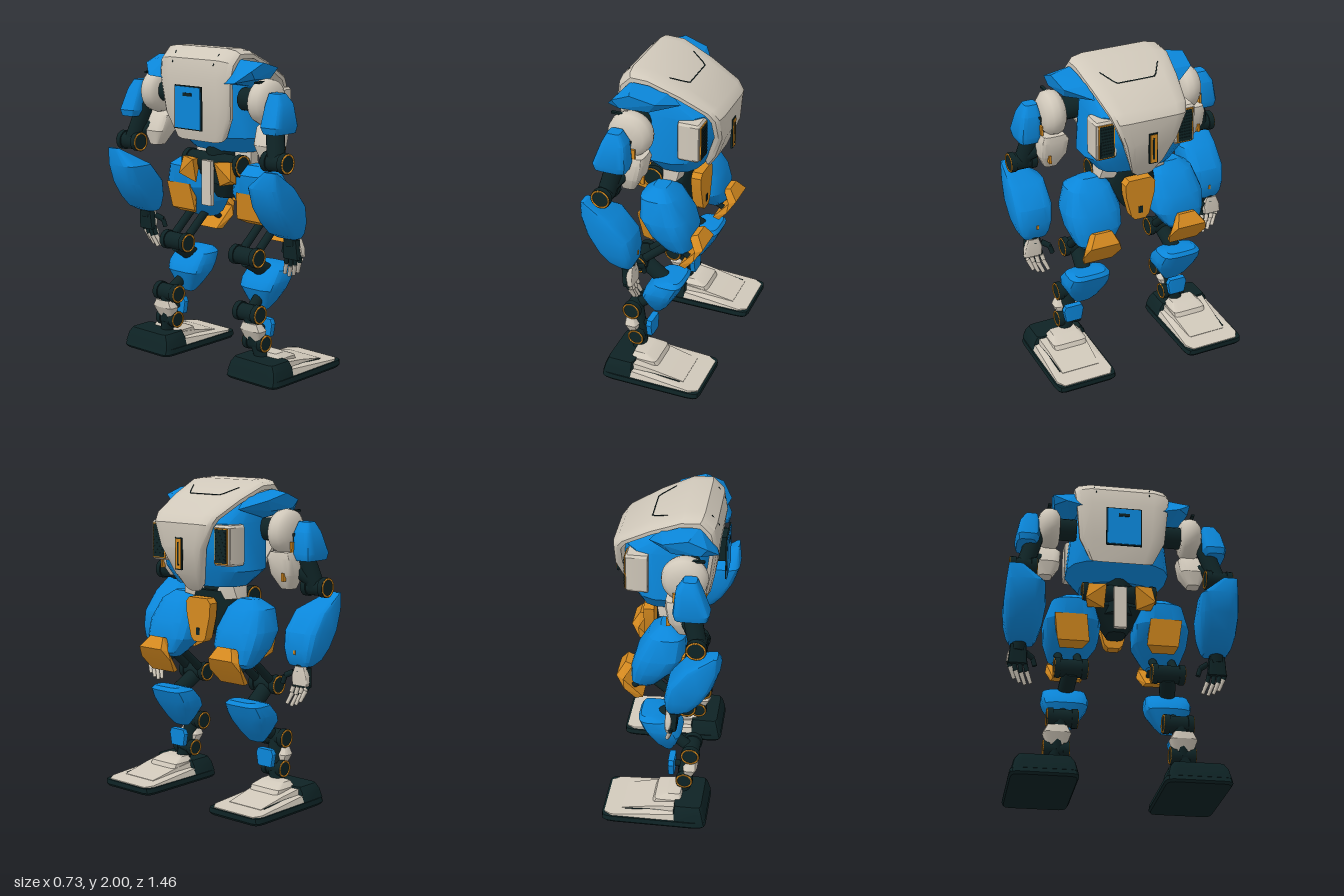
import * as THREE from 'three';
import { toCreasedNormals } from 'three/addons/utils/BufferGeometryUtils.js';
import { ConvexGeometry } from 'three/addons/geometries/ConvexGeometry.js';

const V = (x, y, z) => new THREE.Vector3(x, y, z);
const paint = (name, color) => Object.assign(new THREE.MeshStandardMaterial({ color }), { name });

export function createModel() {
  const blue = paint('blue armour', 0x0a86d9);
  const cream = paint('cream shell', 0xd0c8ba);
  const orange = paint('orange accent', 0xd58a1f);
  const dark = paint('dark frame', 0x0e2325);
  const root = new THREE.Group();
  root.name = 'walkerRobot';

  const add = (name, geo, mat, parent = root) => {
    const m = new THREE.Mesh(geo, mat);
    m.name = name;
    parent.add(m);
    return m;
  };
  // Convex panel through a few corner points
  const hull = (name, mat, pts, parent, crease = 0.5) =>
    add(name, toCreasedNormals(new ConvexGeometry(pts), crease), mat, parent);
  // Convex panel through rounded horizontal slices [y, x0, x1, z0, z1]; p: 1 = ellipse, near 0 = box
  const slices = (name, mat, rows, s, parent, p = 0.65) => {
    const pts = [], n = 16;
    const soft = (v) => Math.sign(v) * Math.abs(v) ** p;
    for (const [y, x0, x1, z0, z1] of rows)
      for (let i = 0; i < n; i++) {
        const a = ((i + 0.5) / n) * Math.PI * 2;
        pts.push(V((x0 + x1) / 2 + soft(Math.cos(a)) * (x1 - x0) / 2, y,
          s * ((z0 + z1) / 2 + soft(Math.sin(a)) * (z1 - z0) / 2)));
      }
    return hull(name, mat, pts, parent);
  };
  const rod = (name, mat, a, b, r, parent, r2 = r) => {
    const m = add(name, new THREE.CylinderGeometry(r2, r, a.distanceTo(b), 14), mat, parent);
    m.position.copy(a).lerp(b, 0.5);
    m.quaternion.setFromUnitVectors(V(0, 1, 0), b.clone().sub(a).normalize());
    return m;
  };
  const box = (name, mat, x, y, z, w, h, d, parent) => {
    const m = add(name, new THREE.BoxGeometry(w, h, d), mat, parent);
    m.position.set(x, y, z);
    return m;
  };
  // Sideways pivot drum with accent rings on both caps
  const joint = (name, x, y, z, r, width, parent) => {
    const g = new THREE.Group();
    g.name = name;
    g.position.set(x, y, z);
    parent.add(g);
    rod('drum', dark, V(0, 0, -width / 2 + 0.012), V(0, 0, width / 2 - 0.012), r * 0.88, g);
    for (const s of [-1, 1]) {
      rod('cap', dark, V(0, 0, s * (width / 2 - 0.035)), V(0, 0, s * width / 2), r, g);
      add('ring', new THREE.TorusGeometry(r * 0.86, 0.0055, 6, 28), orange, g).position.z = s * width / 2;
    }
  };

  // Torso core
  slices('torso', blue, [[1.86, -0.24, 0.12, -0.26, 0.26], [1.75, -0.26, 0.27, -0.3, 0.3], [1.6, -0.25, 0.28, -0.31, 0.31],
    [1.46, -0.22, 0.225, -0.33, 0.33], [1.36, -0.12, 0.18, -0.24, 0.24]], 1, root, 0.75);

  // Wraparound shell: stations [x, y, halfWidth] from the back, over the top, to the chin
  const stations = [[-0.25, 1.43, 0.2], [-0.28, 1.58, 0.27], [-0.31, 1.82, 0.29], [-0.29, 1.93, 0.3], [-0.22, 2, 0.3],
    [-0.1, 1.995, 0.3], [0.1, 1.91, 0.275], [0.29, 1.805, 0.245], [0.33, 1.75, 0.23], [0.33, 1.6, 0.175],
    [0.265, 1.43, 0.115], [0.21, 1.345, 0.08], [0.19, 1.325, 0.05]];
  const section = [[0.17, 1], [0.09, 1], [0.035, 0.92], [0, 0.68], [0, -0.68], [0.035, -0.92], [0.09, -1], [0.17, -1]];
  const pos = [], idx = [], N = section.length;
  for (const [x, y, w] of stations)
    for (const [k, f] of section) pos.push(x * (1 - k), y + (1.65 - y) * k, w * f);
  for (let i = 0; i < stations.length - 1; i++)
    for (let j = 0; j < N; j++) {
      const a = i * N + j, b = i * N + (j + 1) % N;
      idx.push(a, a + N, b, b, a + N, b + N);
    }
  for (let j = 1; j < N - 1; j++) {
    const e = (stations.length - 1) * N;
    idx.push(0, j, j + 1, e, e + j + 1, e + j);
  }
  const shellGeo = new THREE.BufferGeometry();
  shellGeo.setAttribute('position', new THREE.Float32BufferAttribute(pos, 3));
  shellGeo.setIndex(idx);
  cream.side = THREE.DoubleSide;
  add('upperShell', toCreasedNormals(shellGeo, 0.6), cream);

  // Panel seams on top of the shell
  rod('frontSeam', dark, V(0.1, 1.911, -0.12), V(0.1, 1.911, 0.12), 0.003);
  for (const s of [-1, 1]) {
    rod('frontSeam', dark, V(0.1, 1.911, s * 0.12), V(0.08, 1.92, s * 0.14), 0.003);
    rod('frontSeam', dark, V(0.08, 1.92, s * 0.14), V(0, 1.953, s * 0.19), 0.003);
    rod('rearSeam', dark, V(-0.3, 1.9, s * 0.17), V(-0.255, 1.967, s * 0.18), 0.003);
  }

  // Chest light and rear hatch
  box('chestLightRim', dark, 0.33, 1.565, 0, 0.012, 0.195, 0.056);
  box('chestLight', orange, 0.335, 1.565, 0, 0.009, 0.18, 0.042);
  box('chestLightSlot', dark, 0.339, 1.565, 0, 0.005, 0.14, 0.012);
  box('hatchMount', dark, -0.305, 1.68, 0, 0.06, 0.16, 0.12);
  box('hatchRim', dark, -0.336, 1.64, 0, 0.009, 0.265, 0.225);
  box('rearHatch', blue, -0.341, 1.64, 0, 0.008, 0.25, 0.21);
  box('hatchHandle', dark, -0.346, 1.72, 0, 0.006, 0.02, 0.07);

  // Waist and pelvis
  rod('waist', dark, V(-0.04, 1.15, 0), V(-0.04, 1.42, 0), 0.1);
  slices('pelvis', dark, [[1.32, -0.1, 0.09, -0.13, 0.13], [1.2, -0.12, 0.09, -0.17, 0.17], [1.05, -0.05, 0.09, -0.06, 0.06]], 1);
  joint('hipAxle', -0.1, 1.28, 0, 0.07, 0.46, root);
  hull('frontSkirt', orange, [0.1, 0.165].flatMap((x) => [-1, 1].flatMap((s) =>
    [V(x, 1.28, s * 0.075), V(x, 1.25, s * 0.1), V(x, 1.17, s * 0.095), V(x, 1.03, s * 0.06), V(x, 1.005, s * 0.035)])));
  box('skirtSlot', dark, 0.166, 1.07, 0, 0.006, 0.045, 0.028);
  box('rearSkirt', cream, -0.17, 1.16, 0, 0.03, 0.28, 0.08);

  for (const s of [1, -1]) {
    const side = s > 0 ? 'right' : 'left';
    const P = (x, y, z) => V(x, y, z * s);
    const group = (name) => {
      const g = new THREE.Group();
      g.name = side + name;
      root.add(g);
      return g;
    };

    // Side intake with slatted grille
    const vent = group('Intake');
    slices('ventBox', cream, [[1.5, 0.1, 0.225, 0.2, 0.315], [1.515, 0.1, 0.235, 0.19, 0.325],
      [1.73, 0.1, 0.235, 0.19, 0.325], [1.745, 0.1, 0.225, 0.2, 0.315]], s, vent, 0.12);
    box('ventFrame', orange, 0.237, 1.62, s * 0.258, 0.009, 0.216, 0.104, vent);
    box('ventRecess', dark, 0.24, 1.62, s * 0.258, 0.009, 0.202, 0.09, vent);
    for (let i = 0; i < 9; i++) box('slat', dark, 0.245, 1.54 + i * 0.02, s * 0.258, 0.006, 0.009, 0.08, vent);

    // Shoulder
    const arm = group('Arm');
    hull('collar', blue, [P(-0.3, 1.8, 0.26), P(-0.32, 1.81, 0.36), P(-0.2, 1.94, 0.28), P(-0.15, 1.925, 0.44), P(-0.26, 1.88, 0.44),
      P(0, 1.885, 0.42), P(0.1, 1.83, 0.27), P(0.03, 1.9, 0.26), P(-0.22, 1.83, 0.43), P(-0.05, 1.82, 0.4), P(-0.1, 1.77, 0.3)], arm, 0.2);
    rod('shoulderAxle', dark, P(-0.14, 1.7, 0.28), P(-0.14, 1.7, 0.46), 0.07, arm);
    const capProfile = [[0, -0.065], [0.1, -0.065], [0.128, -0.045], [0.138, -0.01], [0.132, 0.03], [0.1, 0.06], [0.05, 0.072], [0, 0.074]];
    const cap = add('shoulderCap', toCreasedNormals(new THREE.LatheGeometry(
      capProfile.map(([r, h]) => new THREE.Vector2(r, h)), 28), 0.7), cream, arm);
    cap.position.set(-0.135, 1.695, s * 0.455);
    cap.rotation.x = s * Math.PI / 2;
    box('shoulderSlot', dark, -0.2, 1.816, s * 0.46, 0.1, 0.012, 0.02, arm);

    // Upper arm
    slices('upperArmGuard', blue, [[1.76, -0.22, -0.14, 0.53, 0.61], [1.7, -0.25, -0.1, 0.52, 0.645],
      [1.57, -0.3, -0.085, 0.52, 0.67], [1.53, -0.29, -0.095, 0.54, 0.66]], s, arm, 0.45);
    box('guardMark', orange, -0.09, 1.61, s * 0.535, 0.03, 0.06, 0.014, arm);
    rod('upperArm', dark, P(-0.15, 1.7, 0.52), P(-0.23, 1.36, 0.61), 0.055, arm);
    slices('innerArmGuard', cream, [[1.58, -0.12, -0.03, 0.4, 0.54], [1.54, -0.16, -0.025, 0.37, 0.555],
      [1.44, -0.2, -0.045, 0.38, 0.555], [1.35, -0.18, -0.1, 0.43, 0.51]], s, arm, 0.5);
    box('innerGuardMark', orange, -0.045, 1.43, s * 0.505, 0.025, 0.05, 0.016, arm);
    rod('innerArmLink', dark, P(-0.12, 1.5, 0.47), P(-0.21, 1.4, 0.6), 0.04, arm);
    joint('elbow', -0.23, 1.365, s * 0.615, 0.062, 0.165, arm);

    // Forearm
    slices('forearmGuard', blue, [[1.325, -0.355, -0.33, 0.62, 0.71], [1.22, -0.37, -0.16, 0.48, 0.722], [1.1, -0.33, -0.06, 0.47, 0.73],
      [1, -0.27, -0.04, 0.485, 0.72], [0.93, -0.21, -0.045, 0.51, 0.7], [0.9, -0.15, -0.06, 0.53, 0.68]], s, arm, 0.5);
    box('forearmMark', orange, -0.04, 0.985, s * 0.6, 0.008, 0.025, 0.014, arm);

    // Hand with fingers sweeping inward
    rod('wrist', dark, P(-0.11, 0.95, 0.61), P(-0.09, 0.86, 0.62), 0.045, arm);
    slices('palm', dark, [[0.89, -0.125, -0.07, 0.57, 0.67], [0.77, -0.115, -0.07, 0.56, 0.68]], s, arm, 0.4);
    slices('handGuard', cream, [[0.9, -0.085, -0.05, 0.59, 0.66], [0.84, -0.09, -0.045, 0.57, 0.685], [0.785, -0.08, -0.045, 0.575, 0.69]], s, arm, 0.4);
    for (let i = 0; i < 4; i++) {
      const z = 0.573 + i * 0.034, drop = [0.01, 0, 0.012, 0.035][i];
      const knuckle = P(-0.075, 0.72 + drop, z - 0.012), tip = P(-0.055, 0.65 + drop, z - 0.04);
      rod('fingerBase', dark, P(-0.085, 0.79, z), knuckle, 0.014, arm);
      rod('fingerPlate', cream, P(-0.07, 0.77, z - 0.003), P(-0.062, 0.725 + drop, z - 0.012), 0.013, arm);
      rod('fingerTip', cream, knuckle, tip, 0.014, arm, 0.011);
    }
    rod('thumbBase', dark, P(-0.07, 0.86, 0.57), P(-0.045, 0.835, 0.525), 0.018, arm);
    rod('thumbTip', dark, P(-0.045, 0.835, 0.525), P(-0.04, 0.785, 0.51), 0.015, arm);

    // Hip and thigh
    const leg = group('Leg');
    hull('hipFairing', cream, [P(-0.03, 1.38, 0.1), P(0.07, 1.37, 0.1), P(0.07, 1.37, 0.2), P(-0.03, 1.36, 0.23),
      P(0.07, 1.3, 0.06), P(-0.03, 1.29, 0.08), P(0.06, 1.27, 0.13), P(0.05, 1.28, 0.22), P(-0.03, 1.28, 0.23)], leg);
    hull('rearHipPlate', orange, [P(-0.21, 1.3, 0.09), P(-0.18, 1.31, 0.2), P(-0.2, 1.2, 0.22), P(-0.17, 1.15, 0.1),
      P(-0.13, 1.3, 0.1), P(-0.13, 1.3, 0.2), P(-0.13, 1.17, 0.2)], leg);
    slices('thighGuard', blue, [[1.285, -0.06, 0.03, 0.2, 0.34], [1.23, -0.13, 0.1, 0.14, 0.42], [1.1, -0.125, 0.175, 0.1, 0.465],
      [1, -0.065, 0.205, 0.11, 0.455], [0.91, 0.03, 0.205, 0.18, 0.42], [0.88, 0.07, 0.175, 0.21, 0.39]], s, leg, 0.65);
    hull('rearThighPlate', orange, [P(-0.13, 1.12, 0.2), P(-0.13, 1.12, 0.4), P(-0.1, 0.95, 0.18), P(-0.1, 0.95, 0.38),
      P(-0.045, 0.92, 0.22), P(-0.045, 0.92, 0.36), P(-0.06, 1.1, 0.2), P(-0.06, 1.1, 0.4)], leg);

    // Bent knee plate, upper and lower halves meeting at a ridge
    const ridge = [P(0.29, 0.945, 0.2), P(0.29, 0.945, 0.39), P(0.245, 0.93, 0.18), P(0.245, 0.93, 0.41)];
    hull('kneePlateTop', orange, [...ridge, P(0.24, 1.015, 0.23), P(0.24, 1.015, 0.34), P(0.19, 1, 0.24), P(0.19, 1, 0.35)], leg, 0.1);
    hull('kneePlateBottom', orange, [...ridge, P(0.24, 0.87, 0.165), P(0.24, 0.87, 0.42), P(0.175, 0.785, 0.2),
      P(0.175, 0.785, 0.39), P(0.13, 0.79, 0.21), P(0.13, 0.79, 0.38)], leg, 0.1);

    // Folded linkage and shin
    for (const d of [-0.06, 0.06]) {
      rod('upperLink', dark, P(0.08, 0.93, 0.3 + d), P(-0.14, 0.74, 0.3 + d), 0.026, leg);
      rod('kneeStrut', dark, P(0.12, 0.9, 0.3 + d), P(0.19, 0.86, 0.3 + d), 0.018, leg);
    }
    joint('kneeJoint', -0.14, 0.74, s * 0.3, 0.062, 0.2, leg);
    rod('lowerLink', dark, P(-0.14, 0.72, 0.3), P(0.02, 0.62, 0.32), 0.05, leg);
    slices('shinGuard', blue, [[0.67, 0.05, 0.145, 0.22, 0.42], [0.645, -0.03, 0.16, 0.185, 0.455], [0.58, -0.09, 0.13, 0.175, 0.465],
      [0.53, -0.11, 0.1, 0.18, 0.455], [0.45, -0.08, 0.05, 0.23, 0.41], [0.395, -0.05, 0, 0.27, 0.37]], s, leg, 0.55);
    rod('shinLink', dark, P(-0.03, 0.5, 0.33), P(-0.17, 0.4, 0.35), 0.035, leg);
    joint('hockJoint', -0.17, 0.4, s * 0.35, 0.06, 0.18, leg);
    rod('ankleStrut', dark, P(-0.17, 0.4, 0.36), P(-0.135, 0.21, 0.38), 0.05, leg);
    slices('calfPad', cream, [[0.345, -0.21, -0.15, 0.32, 0.44], [0.3, -0.215, -0.125, 0.295, 0.465], [0.23, -0.18, -0.13, 0.32, 0.44]], s, leg, 0.45);
    slices('anklePlate', blue, [[0.35, -0.07, -0.03, 0.32, 0.43], [0.32, -0.07, -0.03, 0.305, 0.445], [0.24, -0.07, -0.03, 0.32, 0.43]], s, leg, 0.3);
    rod('plateBracket', dark, P(-0.16, 0.29, 0.37), P(-0.06, 0.29, 0.37), 0.02, leg);
    joint('ankleJoint', -0.135, 0.215, s * 0.38, 0.055, 0.15, leg);
    rod('ankleBase', dark, P(-0.13, 0.2, 0.39), P(-0.12, 0.1, 0.42), 0.05, leg, 0.045);

    // Foot
    const foot = group('Foot');
    slices('sole', dark, [[0, -0.285, 0.355, 0.26, 0.65], [0.015, -0.295, 0.365, 0.25, 0.66], [0.045, -0.285, 0.365, 0.255, 0.655]], s, foot, 0.16);
    slices('heel', dark, [[0.04, -0.29, -0.08, 0.26, 0.65], [0.1, -0.275, -0.085, 0.275, 0.635], [0.135, -0.26, -0.09, 0.3, 0.61]], s, foot, 0.2);
    hull('toePlate', cream, [P(-0.11, 0.04, 0.265), P(-0.11, 0.04, 0.645), P(-0.1, 0.085, 0.28), P(-0.1, 0.085, 0.63), P(-0.1, 0.1, 0.34),
      P(-0.1, 0.1, 0.57), P(0.3, 0.055, 0.268), P(0.3, 0.055, 0.642), P(0.35, 0.05, 0.3), P(0.35, 0.05, 0.61),
      P(0.3, 0.04, 0.265), P(0.3, 0.04, 0.645), P(0.35, 0.04, 0.3), P(0.35, 0.04, 0.61)], foot, 0.1);
    hull('toeRidge', cream, [P(-0.1, 0.08, 0.3), P(-0.1, 0.08, 0.61), P(-0.1, 0.125, 0.31), P(-0.1, 0.125, 0.6),
      P(0.04, 0.105, 0.32), P(0.04, 0.105, 0.59), P(0.24, 0.065, 0.33), P(0.24, 0.065, 0.58), P(0.24, 0.05, 0.33), P(0.24, 0.05, 0.58)], foot, 0.1);
    rod('toeSeam', dark, P(-0.09, 0.091, 0.6), P(0.22, 0.066, 0.588), 0.004, foot);
    slices('instepBlock', cream, [[0.09, -0.13, 0.06, 0.32, 0.55], [0.13, -0.13, 0.04, 0.32, 0.55], [0.16, -0.12, -0.03, 0.35, 0.52]], s, foot, 0.25);
  }
  return root;
}
